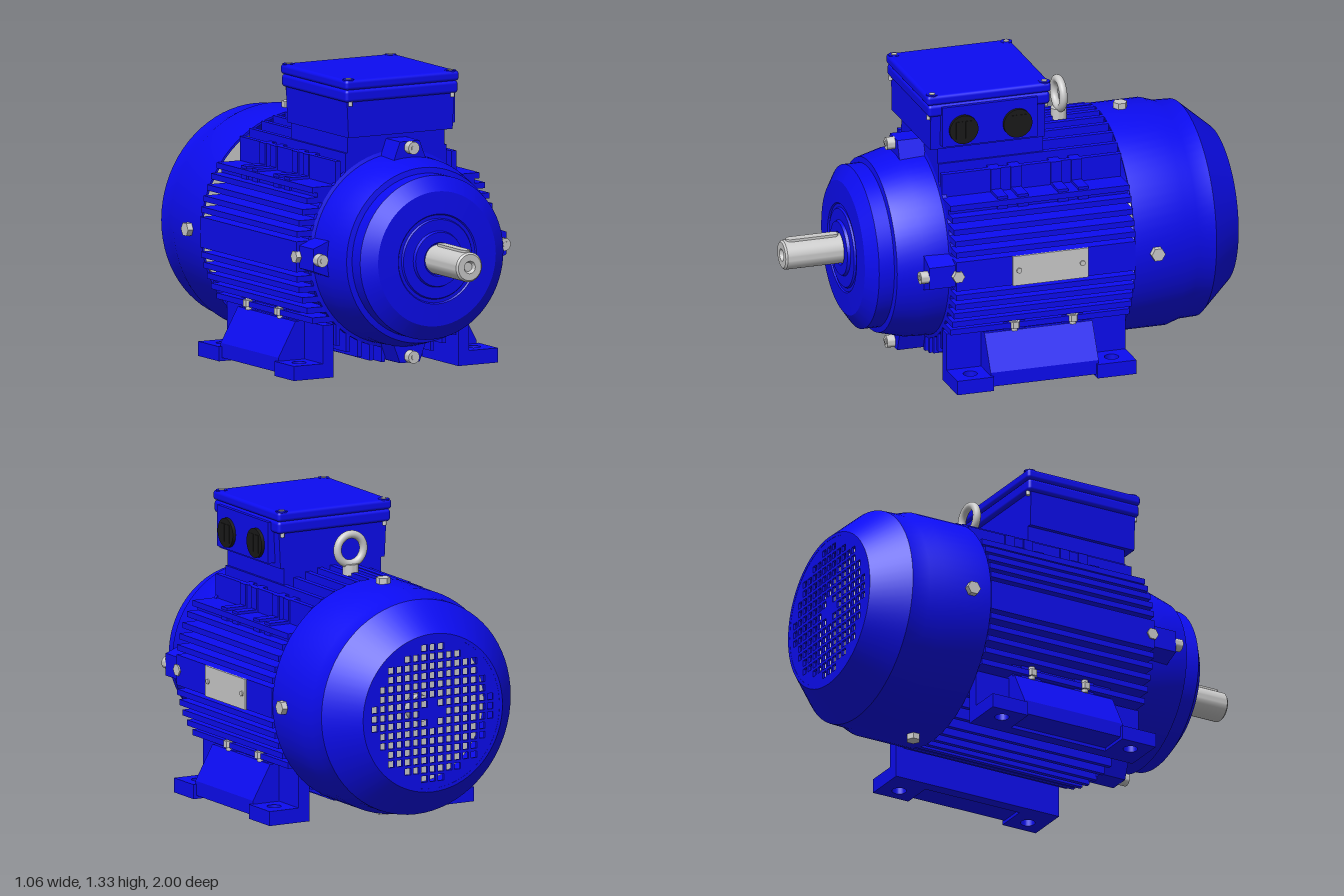
import * as THREE from 'three';
import { toCreasedNormals } from 'three/addons/utils/BufferGeometryUtils.js';
import { RoundedBoxGeometry } from 'three/addons/geometries/RoundedBoxGeometry.js';

const AXIS = 0.55;            // shaft height
const Z0 = -0.47, Z1 = 0.36;  // ends of the finned housing
const blue = new THREE.MeshStandardMaterial({ color: 0x0c0cf2 });
const blueOpen = new THREE.MeshStandardMaterial({ color: 0x0c0cf2, side: THREE.DoubleSide });
const grey = new THREE.MeshStandardMaterial({ color: 0xcccccc });
const black = new THREE.MeshStandardMaterial({ color: 0x1a1a1a });

function add(parent, name, geo, mat, x = 0, y = 0, z = 0) {
  const m = new THREE.Mesh(geo, mat);
  m.name = name;
  m.position.set(x, y, z);
  parent.add(m);
  return m;
}

// Box given by its limits on each axis
function block(parent, name, x0, x1, y0, y1, z0, z1, mat = blue) {
  return add(parent, name, new THREE.BoxGeometry(x1 - x0, y1 - y0, z1 - z0), mat,
    (x0 + x1) / 2, (y0 + y1) / 2, (z0 + z1) / 2);
}

// Turned part about the shaft; profile is [radius, z] from back to front
function turned(parent, name, profile, mat, segments = 72) {
  const geo = new THREE.LatheGeometry(profile.map(([r, z]) => new THREE.Vector2(r, z)), segments);
  geo.rotateX(Math.PI / 2);
  return add(parent, name, toCreasedNormals(geo, 0.4), mat, 0, AXIS, 0);
}

function polygon(points) {
  return new THREE.Shape(points.map(([x, y]) => new THREE.Vector2(x, y)));
}

function extrude(shape, depth) {
  return new THREE.ExtrudeGeometry(shape, { depth, bevelEnabled: false, curveSegments: 24 });
}

// Cylinder or hex head pointing along dir
function stud(parent, name, r, h, sides, pos, dir, mat = grey) {
  const m = add(parent, name, toCreasedNormals(new THREE.CylinderGeometry(r, r, h, sides), 0.6), mat, ...pos);
  m.quaternion.setFromUnitVectors(new THREE.Vector3(0, 1, 0), new THREE.Vector3(...dir).normalize());
  return m;
}

function buildHousing(g) {
  turned(g, 'housingCore', [[0, Z0], [0.425, Z0], [0.425, Z1], [0, Z1]], blue);
  const reach = (d, r) => Math.sqrt(r * r - d * d);
  // Upright fins above and below
  for (const x of [0, 0.065, 0.125, 0.185, 0.245, 0.295]) {
    for (const s of x ? [-1, 1] : [1]) {
      const top = reach(x, 0.505);
      block(g, 'topFin', s * x - 0.013, s * x + 0.013, AXIS + 0.28, AXIS + top, Z0, Z1);
      block(g, 'bottomFin', s * x - 0.01, s * x + 0.01, AXIS - top, AXIS - 0.28, Z0, Z1);
    }
  }
  for (const s of [-1, 1]) {
    // Level fins at the sides
    for (const d of [0.1, 0.148, 0.196, 0.244, 0.29]) {
      for (const v of [-1, 1]) {
        const y = AXIS + v * d, a = s * 0.28, b = s * reach(d, 0.515);
        block(g, 'sideFin', Math.min(a, b), Math.max(a, b), y - 0.013, y + 0.013, Z0, Z1);
      }
    }
    // Broad side rib
    const rib = block(g, 'sideRib', 0.4, 0.508, AXIS - 0.068, AXIS + 0.068, Z0, Z1);
    rib.position.x *= s;
    // Stepped mounting pads on the upper corners, each with a notch
    for (const z of [0.065, -0.215]) {
      for (const e of [-1, 1]) {
        const zc = z + e * 0.047;
        block(g, 'cornerPad', s * 0.35 - 0.06, s * 0.35 + 0.06, 0.77, 0.865, zc - 0.024, zc + 0.024);
        block(g, 'upperPad', s * 0.27 - 0.045, s * 0.27 + 0.045, 0.82, 0.96, zc - 0.024, zc + 0.024);
      }
      block(g, 'padWeb', s * 0.34 - 0.05, s * 0.34 + 0.05, 0.77, 0.835, z - 0.03, z + 0.03);
    }
    block(g, 'cornerLedge', s * 0.34 - 0.06, s * 0.34 + 0.06, 0.795, 0.83, Z0, Z1);
    stud(g, 'earthScrew', 0.028, 0.03, 6, [s * 0.5, AXIS, 0.35], [s, 0, 0]);
  }
  // Rating plate with two rivets
  block(g, 'ratingPlate', 0.506, 0.516, 0.48, 0.618, -0.25, 0.1, grey);
  for (const z of [-0.222, 0.072]) stud(g, 'plateRivet', 0.012, 0.012, 16, [0.516, AXIS, z], [1, 0, 0]);
}

function buildFrontShield(g) {
  turned(g, 'frontShield', [[0, 0.34], [0.44, 0.34], [0.44, 0.36], [0.425, 0.365], [0.42, 0.48], [0.39, 0.595],
    [0.365, 0.6], [0.365, 0.67], [0.3, 0.715], [0.2, 0.72], [0.195, 0.714], [0.18, 0.714], [0.175, 0.722],
    [0.125, 0.722], [0.12, 0.735], [0.075, 0.735], [0.07, 0.725], [0, 0.725]], blue);
  // Four bolted lugs around the rim
  for (let i = 0; i < 4; i++) {
    const lug = new THREE.Group();
    lug.name = 'shieldLug';
    lug.position.y = AXIS;
    lug.rotation.z = i * Math.PI / 2;
    add(lug, 'lug', extrude(polygon([[-0.085, 0.4], [0.085, 0.4], [0.05, 0.492], [-0.05, 0.492]]), 0.125), blue, 0, 0, 0.355);
    stud(lug, 'lugBolt', 0.028, 0.04, 24, [0, 0.465, 0.497], [0, 0, 1]);
    stud(lug, 'boltSocket', 0.014, 0.002, 6, [0, 0.465, 0.518], [0, 0, 1]);
    g.add(lug);
  }
}

function buildShaft(g) {
  turned(g, 'shaft', [[0, 0.7], [0.066, 0.7], [0.066, 0.992], [0.058, 1], [0.028, 1], [0.02, 0.985], [0, 0.985]], grey, 48);
  // Round-ended key
  const key = new THREE.Shape();
  key.absarc(0, 0.1, 0.02, 0, Math.PI);
  key.absarc(0, -0.1, 0.02, Math.PI, Math.PI * 2);
  const geo = extrude(key, 0.03);
  geo.rotateX(-Math.PI / 2);
  add(g, 'shaftKey', geo, grey, 0, AXIS + 0.044, 0.86);
}

function buildFanCover(g) {
  turned(g, 'fanCover', [[0.34, -0.985], [0.34, -1], [0.355, -1], [0.482, -0.855], [0.485, -0.77], [0.505, -0.71],
    [0.505, Z0], [0.495, Z0], [0.495, -0.71], [0.474, -0.77], [0.472, -0.85], [0.345, -0.985], [0.34, -0.985]], blueOpen);
  // Grille with square holes and a solid centre
  const disc = new THREE.Shape();
  disc.absarc(0, 0, 0.345, 0, Math.PI * 2);
  const pitch = 0.042, h = 0.0145;
  for (let i = -7; i <= 7; i++) {
    for (let j = -7; j <= 7; j++) {
      const x = i * pitch, y = j * pitch, r = Math.hypot(x, y);
      if (r > 0.3 || r < 0.05) continue;
      disc.holes.push(new THREE.Path([[-h, -h], [-h, h], [h, h], [h, -h]].map(([a, b]) => new THREE.Vector2(x + a, y + b))));
    }
  }
  add(g, 'grille', extrude(disc, 0.012), blue, 0, AXIS, -0.999);
  // Fan behind the grille
  turned(g, 'fanDisc', [[0, -0.86], [0.34, -0.86], [0.34, -0.84], [0, -0.84]], grey, 48);
  stud(g, 'fanHub', 0.06, 0.3, 32, [0, AXIS, -0.75], [0, 0, 1]);
  // Hex screws holding the cover
  for (const [x, y] of [[1, 0], [-1, 0], [0, 1], [0, -1]]) {
    stud(g, 'coverScrew', 0.032, 0.032, 6, [x * 0.515, AXIS + y * 0.515, -0.57], [x, y, 0]);
  }
}

function buildFeet(g) {
  for (const s of [-1, 1]) {
    const foot = new THREE.Group();
    foot.name = s > 0 ? 'leftFoot' : 'rightFoot';
    block(foot, 'footWall', s * 0.345 - 0.027, s * 0.345 + 0.027, 0, 0.235, Z0, Z1);
    // Sloping block between the two pads
    const web = polygon([[0.32, 0.015], [0.505, 0.015], [0.505, 0.08], [0.418, 0.235], [0.32, 0.235]].map(([x, y]) => [s * x, y]));
    add(foot, 'footWeb', extrude(web, 0.5), blue, 0, 0, -0.3);
    // End pads with bolt holes
    for (const [a, b] of [[0.19, Z1], [Z0, -0.29]]) {
      const pad = polygon([[0.32, a], [0.52, a], [0.52, b], [0.32, b]].map(([x, z]) => [s * x, -z]));
      const hole = new THREE.Path();
      hole.absarc(s * 0.445, -(a + b) / 2, 0.032, 0, Math.PI * 2);
      pad.holes.push(hole);
      const geo = extrude(pad, 0.065);
      geo.rotateX(-Math.PI / 2);
      add(foot, 'footPad', geo, blue);
    }
    // Seat against the housing and its bolts
    block(foot, 'footSeat', s * 0.345 - 0.055, s * 0.345 + 0.055, 0.22, 0.3, -0.3, 0.2);
    for (const z of [0.06, -0.21]) {
      block(foot, 'boltBoss', s * 0.375 - 0.035, s * 0.375 + 0.035, 0.23, 0.31, z - 0.05, z + 0.05);
      stud(foot, 'footBolt', 0.026, 0.03, 6, [s * 0.415, 0.262, z], [0, 1, 0]);
      stud(foot, 'footBoltStem', 0.014, 0.06, 16, [s * 0.415, 0.262, z], [0, 1, 0]);
    }
    g.add(foot);
  }
}

function buildTerminalBox(g) {
  block(g, 'boxNeck', -0.247, 0.247, 0.9, 1.08, -0.13, Z1);
  // Box body widening slightly upwards
  const geo = new THREE.BoxGeometry(0.55, 0.2, 0.53);
  const p = geo.attributes.position;
  for (let i = 0; i < p.count; i++) if (p.getY(i) < 0) p.setX(i, p.getX(i) * 0.965);
  geo.computeVertexNormals();
  add(g, 'boxBody', geo, blue, 0, 1.165, 0.135);
  add(g, 'boxRim', new RoundedBoxGeometry(0.574, 0.056, 0.565, 3, 0.015), blue, 0, 1.252, 0.133);
  add(g, 'boxLid', new RoundedBoxGeometry(0.58, 0.045, 0.575, 3, 0.015), blue, 0, 1.302, 0.133);
  for (const x of [-0.26, 0.26]) {
    for (const z of [-0.13, 0.39]) {
      stud(g, 'lidScrewBoss', 0.026, 0.006, 20, [x, 1.323, z], [0, 1, 0], blue);
      stud(g, 'lidScrew', 0.013, 0.008, 16, [x, 1.325, z], [0, 1, 0]);
      stud(g, 'lidScrewEnd', 0.009, 0.02, 12, [x, 1.218, z + (z > 0 ? 0.017 : -0.007)], [0, 1, 0]);
    }
  }
  // Cable entries with slotted plugs
  block(g, 'entryPlate', 0.26, 0.303, 1.085, 1.27, -0.085, 0.355);
  for (const z of [0.26, 0.01]) {
    stud(g, 'entryPlug', 0.066, 0.04, 40, [0.298, 1.162, z], [1, 0, 0], black);
    for (const e of [-1, 1]) block(g, 'plugFace', 0.31, 0.321, 1.122, 1.202, z + e * 0.022 - 0.016, z + e * 0.022 + 0.016, black);
  }
}

function buildLiftingEye(g) {
  stud(g, 'eyeBase', 0.035, 0.05, 32, [0, 1.065, -0.285], [0, 1, 0]);
  add(g, 'eyeRing', new THREE.TorusGeometry(0.066, 0.018, 16, 48), grey, 0, 1.155, -0.285);
}

export function createModel() {
  const root = new THREE.Group();
  root.name = 'electricMotor';
  const parts = { housing: buildHousing, frontEnd: buildFrontShield, driveShaft: buildShaft, fanEnd: buildFanCover,
    feet: buildFeet, terminalBox: buildTerminalBox, liftingEye: buildLiftingEye };
  for (const [name, build] of Object.entries(parts)) {
    const g = new THREE.Group();
    g.name = name;
    build(g);
    root.add(g);
  }
  return root;
}
